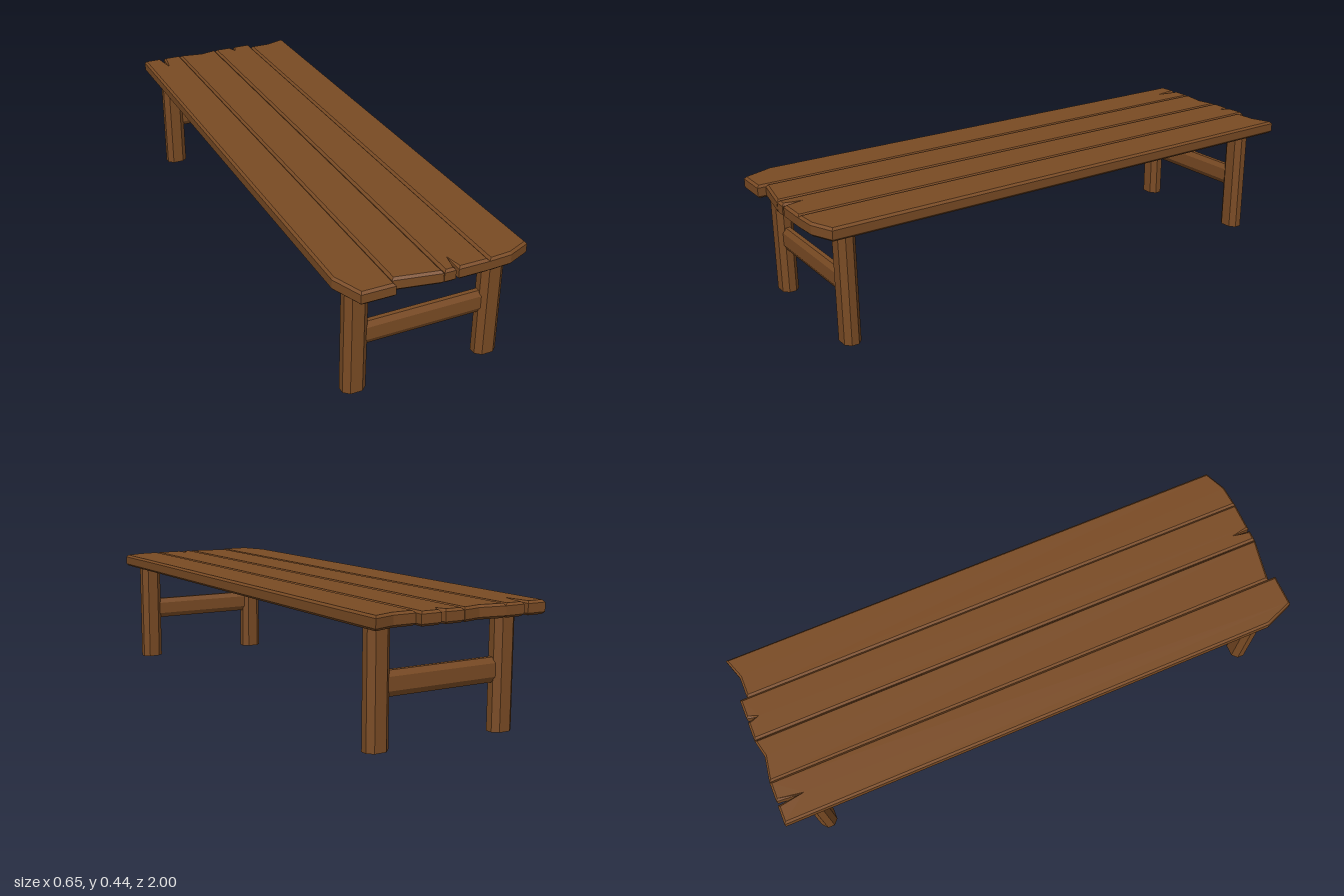
import * as THREE from 'three';

const wood = new THREE.MeshStandardMaterial({ color: 0x7a4b24, roughness: 0.9, flatShading: true });
const BEVEL = 0.008, TOP = 0.445, UNDERSIDE = 0.398;

const shapeOf = (points) => new THREE.Shape(points.map(([x, y]) => new THREE.Vector2(x, y)));

// Board cut from an [x, z] outline, bevelled along its upper and lower edges
function plank(name, outline) {
  const geometry = new THREE.ExtrudeGeometry(shapeOf(outline), {
    depth: TOP - UNDERSIDE - 2 * BEVEL,
    bevelEnabled: true, bevelSegments: 1,
    bevelSize: BEVEL, bevelThickness: BEVEL, bevelOffset: -BEVEL,
  });
  geometry.rotateX(Math.PI / 2); // outline y becomes z, depth runs down
  geometry.translate(0, TOP - BEVEL, 0);
  const mesh = new THREE.Mesh(geometry, wood);
  mesh.name = name;
  return mesh;
}

// Eight-sided bar with cut corners, centred, running along z
function chamferedBar(w, h, cx, cy, length) {
  const a = w / 2, b = h / 2;
  const geometry = new THREE.ExtrudeGeometry(shapeOf([
    [a, -b + cy], [a, b - cy], [a - cx, b], [-a + cx, b],
    [-a, b - cy], [-a, -b + cy], [-a + cx, -b], [a - cx, -b],
  ]), { depth: length, bevelEnabled: false });
  return geometry.translate(0, 0, -length / 2);
}

export function createModel() {
  const bench = new THREE.Group();
  bench.name = 'bench';

  // Four planks with worn, split ends; front end first, then back end
  const planks = new THREE.Group();
  planks.name = 'planks';
  planks.add(
    plank('outerRightPlank', [
      [-0.327, 0.89], [-0.284, 1], [-0.165, 1],
      [-0.165, -1], [-0.239, -1], [-0.247, -0.91], [-0.255, -1], [-0.327, -1],
    ]),
    plank('innerRightPlank', [
      [-0.165, 0.97], [-0.001, 1],
      [-0.001, -1], [-0.07, -0.985], [-0.165, -1],
    ]),
    plank('innerLeftPlank', [
      [0.001, 1], [0.042, 1], [0.047, 0.94], [0.052, 1], [0.163, 1],
      [0.163, -1], [0.088, -1], [0.08, -0.965], [0.072, -1], [0.001, -1],
    ]),
    plank('outerLeftPlank', [
      [0.163, 1], [0.245, 0.995], [0.327, 0.96],
      [0.327, -1], [0.245, -0.973], [0.163, -0.973],
    ]),
  );
  bench.add(planks);

  // Trestles: two legs joined by a stretcher at each end
  const legHeight = 0.405;
  const legGeometry = chamferedBar(0.083, 0.062, 0.02, 0.018, legHeight).rotateX(-Math.PI / 2);
  const stretcherGeometry = chamferedBar(0.036, 0.084, 0.01, 0.019, 0.46).rotateY(Math.PI / 2);
  for (const end of [1, -1]) {
    const trestle = new THREE.Group();
    trestle.name = end > 0 ? 'frontTrestle' : 'backTrestle';
    trestle.position.z = 0.886 * end;
    for (const side of [1, -1]) {
      const leg = new THREE.Mesh(legGeometry, wood);
      leg.name = side > 0 ? 'leftLeg' : 'rightLeg';
      leg.position.set(0.247 * side, legHeight / 2, 0);
      trestle.add(leg);
    }
    const stretcher = new THREE.Mesh(stretcherGeometry, wood);
    stretcher.name = 'stretcher';
    stretcher.position.y = 0.21;
    trestle.add(stretcher);
    bench.add(trestle);
  }
  return bench;
}
